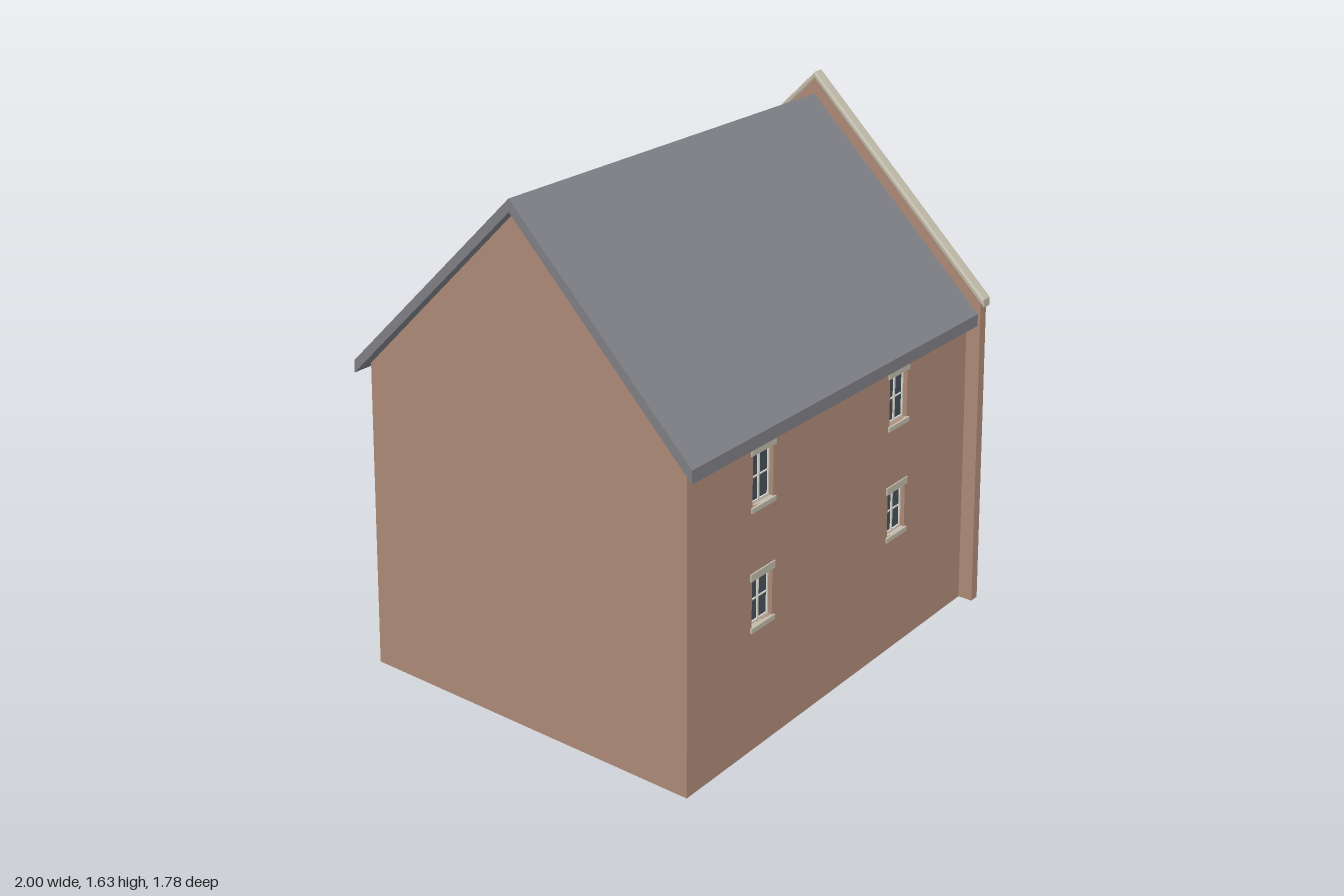
import * as THREE from 'three';

const mat = (name, color) => Object.assign(new THREE.MeshStandardMaterial({ color }), { name });

export function createModel() {
  const house = new THREE.Group();
  house.name = 'house';
  const brick = mat('brick', 0xb18d7b), slate = mat('slate', 0x808187), stone = mat('stone', 0xc2bcab);
  const green = mat('greenPaint', 0x8c9f8e), glass = mat('glass', 0x48525a);
  const white = mat('whitePaint', 0xe2e0d8), iron = mat('iron', 0x34393a);

  // The plan is a parallelogram: x slides with z.
  const CX = 0.008, HALF = 0.675, T = 0.03;
  const skew = new THREE.Matrix4().set(1, 0, 0.3, CX, 0, 1, 0, 0, 0, 0, 1, 0, 0, 0, 0, 1);

  const add = (name, geo, material, matrix = skew, parent = house) => {
    geo.applyMatrix4(matrix);
    const mesh = new THREE.Mesh(geo, material);
    mesh.name = name;
    parent.add(mesh);
    return mesh;
  };
  const poly = pts => new THREE.Shape(pts.map(p => new THREE.Vector2(...p)));
  const extrude = (shape, z0, z1, opts = {}) =>
    new THREE.ExtrudeGeometry(shape, { depth: z1 - z0, bevelEnabled: false, curveSegments: 16, ...opts }).translate(0, 0, z0);
  const gable = (h, eave, peak) => poly([[-h, 0], [h, 0], [h, eave], [0, peak], [-h, eave]]);
  const chevron = (h, eave, peak, t) =>
    poly([[-h, eave - t], [0, peak - t], [h, eave - t], [h, eave], [0, peak], [-h, eave]]);

  // Rectangle or arch-topped opening outline
  const opening = (Kind, x, w, y0, y1, rise = 0) => {
    const s = new Kind();
    s.moveTo(x - w / 2, y0);
    s.lineTo(x + w / 2, y0);
    s.lineTo(x + w / 2, y1 - rise);
    if (rise) s.absellipse(x, y1 - rise, w / 2, rise, 0, Math.PI, false);
    else s.lineTo(x - w / 2, y1);
    s.closePath();
    return s;
  };

  // Gables and roof
  add('frontGable', extrude(gable(HALF, 0.945, 1.515), 0.825, 0.855), brick);
  add('backGable', extrude(gable(0.73, 0.99, 1.605), -0.885, -0.845), brick);
  add('roof', extrude(chevron(0.72, 0.953, 1.556, 0.038), -0.845, 0.89), slate);
  add('coping', extrude(chevron(0.742, 1.003, 1.628, 0.026), -0.886, -0.851,
    { bevelEnabled: true, bevelThickness: 0.008, bevelSize: 0.006, bevelOffset: -0.006, bevelSegments: 2 }), stone);

  // Side wall: local x runs along the wall, local z = 0 is its outer face
  const sideWall = (side, name, windows, doors) => {
    const wall = new THREE.Group();
    wall.name = name;
    house.add(wall);
    const m = skew.clone()
      .multiply(new THREE.Matrix4().makeTranslation(side * HALF, 0, 0))
      .multiply(new THREE.Matrix4().makeRotationY(side * Math.PI / 2));
    const box = (part, x, y, z, w, h, d, material) =>
      add(part, new THREE.BoxGeometry(w, h, d).translate(x, y, z), material, m, wall);

    const a = side * 0.845, b = -side * 0.825;
    const [x0, x1] = [Math.min(a, b), Math.max(a, b)];
    const shape = poly([[x0, 0], [x1, 0], [x1, 0.94], [x0, 0.94]]);

    for (const [wz, y0, y1] of windows) {
      const x = -side * wz, w = 0.115, h = y1 - y0, y = (y0 + y1) / 2;
      shape.holes.push(opening(THREE.Path, x, w, y0, y1));
      box('windowGlass', x, y, -0.024, w, h, 0.006, glass);
      for (const s of [-1, 1]) {
        box('windowStile', x + s * (w / 2 - 0.003), y, -0.022, 0.006, h, 0.012, white);
        box('windowRail', x, y + s * (h / 2 - 0.003), -0.022, w, 0.006, 0.012, white);
      }
      box('mullion', x, y, -0.022, 0.008, h, 0.012, white);
      box('glazingBar', x, y, -0.022, w, 0.004, 0.01, white);
      box('lintel', x, y1 + 0.011, -0.004, w + 0.022, 0.022, 0.018, stone);
      box('sill', x, y0 - 0.007, -0.003, w + 0.018, 0.014, 0.02, stone);
    }

    for (const { z, w, y0, y1, rise = 0, straps, leaves = 1, lintel } of doors) {
      const x = -side * z;
      shape.holes.push(opening(THREE.Path, x, w, y0, y1, rise));
      add('door', extrude(opening(THREE.Shape, x, w, y0, y1, rise), -0.02, -0.01), green, m, wall);
      if (lintel) box('doorLintel', x, y1 + 0.01, -0.004, w + 0.02, 0.02, 0.018, stone);
      // Hinge straps, from both edges on a double door
      for (const y of straps)
        for (const s of leaves === 2 ? [-1, 1] : [1])
          box('hingeStrap', x + s * w * (leaves === 2 ? 0.36 : 0.2), y, -0.009,
            w * (leaves === 2 ? 0.27 : 0.6), 0.009, 0.004, iron);
      if (leaves === 2) box('doorJoint', x, (y0 + y1) / 2, -0.0095, 0.004, y1 - y0 - 0.01, 0.002, iron);
      if (rise) {
        // Raised brick arch
        const arch = new THREE.Shape();
        arch.absellipse(x, y1 - rise, w / 2 + 0.018, rise + 0.022, 0, Math.PI, false);
        arch.absellipse(x, y1 - rise, w / 2, rise, Math.PI, 0, true);
        arch.closePath();
        add('doorArch', extrude(arch, -0.01, 0.008), brick, m, wall);
      }
    }
    add(name + 'Brickwork', extrude(shape, -T, 0), brick, m, wall);
    return box;
  };

  sideWall(1, 'leftWall',
    [0.45, -0.375].flatMap(z => [[z, 0.37, 0.508], [z, 0.722, 0.872]]), []);

  const box = sideWall(-1, 'rightWall',
    [[-0.165, 0.722, 0.872], [0.16, 0.722, 0.872], [0.505, 0.722, 0.872], [-0.165, 0.37, 0.508], [0.505, 0.37, 0.508]],
    [
      { z: -0.535, w: 0.33, y0: 0.215, y1: 0.61, rise: 0.055, straps: [0.27, 0.395, 0.525], leaves: 2 },
      { z: -0.535, w: 0.15, y0: 0.67, y1: 0.835, straps: [0.715, 0.785] },
      { z: 0.165, w: 0.12, y0: 0.215, y1: 0.488, straps: [0.265, 0.435], lintel: true },
    ]);

  // Hoist beam above the loading door, with its hook
  box('hoistBeam', -0.53, 0.878, 0.045, 0.018, 0.022, 0.13, green);
  box('hoistHook', -0.53, 0.852, 0.09, 0.01, 0.03, 0.012, iron);

  return house;
}
